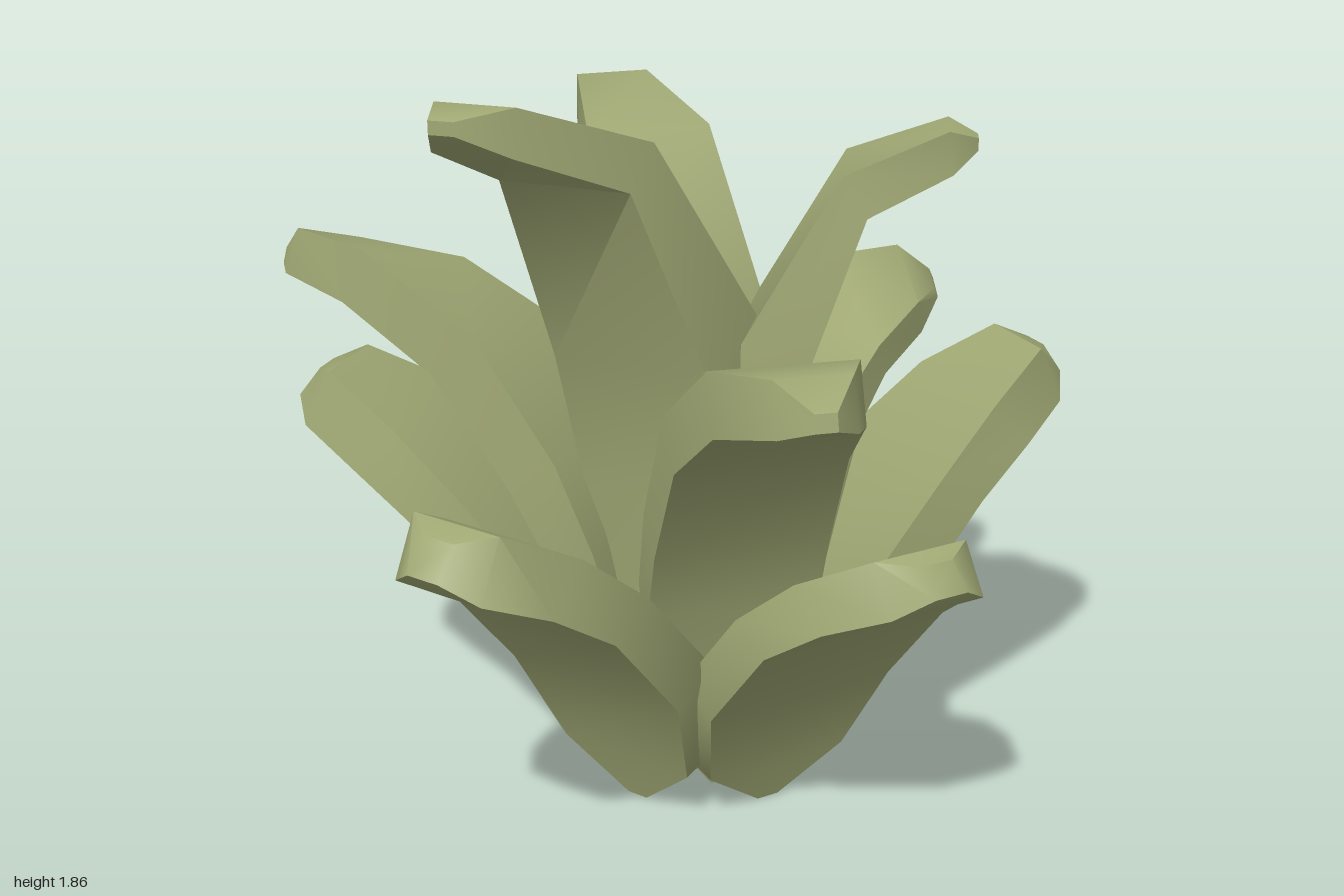
import * as THREE from 'three';
import { toCreasedNormals } from 'three/addons/utils/BufferGeometryUtils.js';

// Stations from base to tip: [upper r, upper y, lower r, lower y, half width]
const OUTER = [
  [0.21, 0.02, 0.30, 0.00, 0.03],
  [0.23, 0.14, 0.34, 0.12, 0.20],
  [0.32, 0.40, 0.44, 0.345, 0.265],
  [0.53, 0.645, 0.635, 0.58, 0.26],
  [0.68, 0.775, 0.775, 0.68, 0.215],
  [0.84, 0.865, 0.90, 0.74, 0.13],
  [0.89, 0.85, 0.94, 0.785, 0.045],
];
const MIDDLE = [
  [0.10, 0.02, 0.18, 0.00, 0.03],
  [0.13, 0.20, 0.22, 0.18, 0.16],
  [0.20, 0.60, 0.30, 0.55, 0.22],
  [0.27, 0.82, 0.38, 0.74, 0.22],
  [0.45, 1.13, 0.55, 1.02, 0.21],
  [0.72, 1.32, 0.77, 1.18, 0.175],
  [0.93, 1.36, 0.97, 1.24, 0.09],
  [1.02, 1.31, 1.03, 1.27, 0.025],
];
const BENT = [
  [0.10, 0.02, 0.18, 0.00, 0.03],
  [0.12, 0.20, 0.20, 0.18, 0.16],
  [0.18, 0.55, 0.27, 0.50, 0.21],
  [0.27, 0.76, 0.37, 0.70, 0.21],
  [0.44, 1.03, 0.51, 0.95, 0.195],
  [0.62, 1.145, 0.65, 1.06, 0.175],
  [0.86, 1.17, 0.88, 1.08, 0.10],
  [0.98, 1.13, 1.00, 1.10, 0.03],
];
const INNER = [
  [0.06, 0.02, 0.14, 0.00, 0.03],
  [0.06, 0.20, 0.16, 0.18, 0.14],
  [0.07, 0.80, 0.19, 0.75, 0.21],
  [0.10, 1.20, 0.25, 1.08, 0.215],
  [0.35, 1.63, 0.41, 1.53, 0.17],
  [0.60, 1.735, 0.61, 1.63, 0.10],
  [0.67, 1.71, 0.67, 1.68, 0.03],
];

// Thick leaf swept along its stations, pointing to an angle seen from above.
// reach and height stretch it, roll tilts it sideways, drift bends the tip
// sideways and skew pushes one edge further out than the other.
function leafGeometry(profile, angle, reach, height, roll = 0, drift = 0, skew = 0) {
  const dx = Math.cos(angle), dz = Math.sin(angle);
  const baseR = profile[0][2];
  const tipR = profile[profile.length - 1][2];
  const pos = [], index = [];

  profile.forEach(([ru, yu, rl, yl, w], i) => {
    const put = (r, y, side) => {
      const t = i / (profile.length - 1);
      const R = (r > baseR ? baseR + (r - baseR) * reach : r) + skew * side * w * t;
      const s = side * w + drift * (r / tipR) ** 2;
      const Y = Math.max(0, y * height + roll * side * w * t);
      pos.push(R * dx - s * dz, Y, R * dz + s * dx);
    };
    put(ru, yu, -1);
    put(ru, yu, 1);
    put(rl, yl, 1);
    put(rl, yl, -1);
  });

  for (let i = 0; i < profile.length - 1; i++) {
    for (let j = 0; j < 4; j++) {
      const a = i * 4 + j, b = i * 4 + (j + 1) % 4;
      index.push(a, b, b + 4, a, b + 4, a + 4);
    }
  }
  // base and tip ends
  const e = (profile.length - 1) * 4;
  index.push(0, 2, 1, 0, 3, 2, e, e + 1, e + 2, e, e + 2, e + 3);

  const geo = new THREE.BufferGeometry();
  geo.setAttribute('position', new THREE.Float32BufferAttribute(pos, 3));
  geo.setIndex(index);
  return toCreasedNormals(geo, 0.75);
}

export function createModel() {
  const model = new THREE.Group();
  model.name = 'succulentPlant';
  const leafGreen = new THREE.MeshStandardMaterial({ color: 0xa0a874 });
  leafGreen.name = 'leafGreen';

  // Each whorl: [angle in degrees, reach, height, roll, drift, skew]
  const whorls = [
    ['outerLeaf', OUTER, [
      [2, 1.15, 1.235, 0, -0.03], [82, 1, 1, 0, -0.09], [150, 1.22, 1.13, 0, -0.05],
      [217, 1.25, 1.21], [288, 1.08, 1.01, 0, 0.05],
    ]],
    ['middleLeaf', MIDDLE, [
      [99, 1.04, 1], [216, 1.1, 1.02, -0.4, 0.02, -0.6],
    ]],
    ['bentLeaf', BENT, [
      [-24, 1, 1, -0.6, -0.02, -0.9],
    ]],
    ['innerLeaf', INNER, [
      [28, 1, 1, 0, 0.07], [150, 1.24, 1.07, 0, 0.11, 0.3], [271, 1.14, 1.005],
    ]],
  ];

  for (const [name, profile, leaves] of whorls) {
    const whorl = new THREE.Group();
    whorl.name = name + 'Whorl';
    // The rosette's stem axis sits slightly off the centre
    whorl.position.set(-0.05, 0, -0.05);
    leaves.forEach(([deg, ...shape], i) => {
      const leaf = new THREE.Mesh(
        leafGeometry(profile, THREE.MathUtils.degToRad(deg), ...shape), leafGreen);
      leaf.name = name + (i + 1);
      whorl.add(leaf);
    });
    model.add(whorl);
  }
  return model;
}
